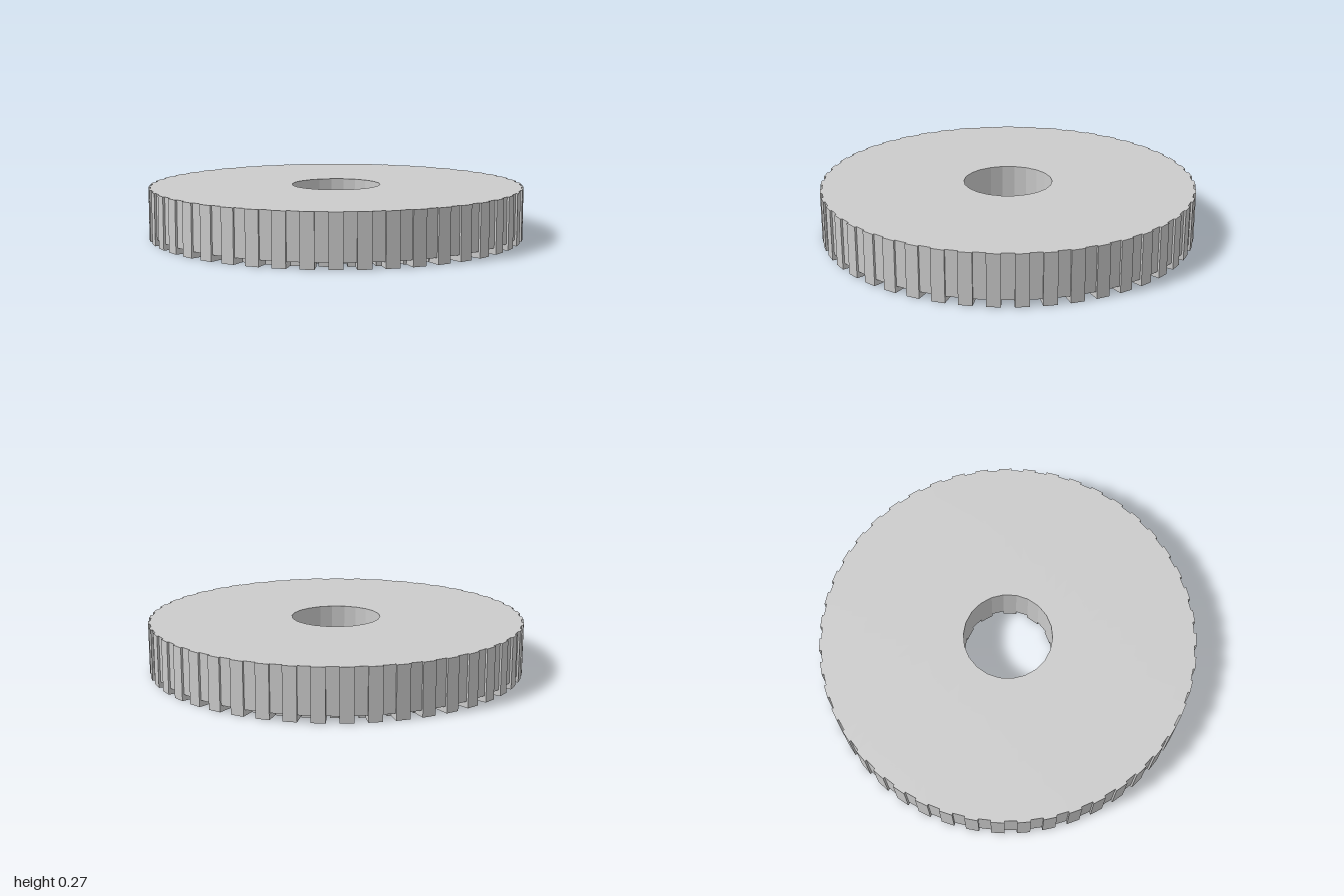
import * as THREE from 'three';
import { mergeGeometries } from 'three/addons/utils/BufferGeometryUtils.js';

const TOP = 0.27;         // height of the flat upper face
const RINGS = 10;
const HOLE = 0.237;       // radius of the central hole
const FIRST = 0.29;       // outer radius of the innermost ring
const PITCH = 0.0777;     // radial spacing of the other rings

// Flat-sided wedge block between two radii and two angles (angle runs from +x towards +z)
function wedge(inner, outer, a0, a1, bottom) {
  const point = (r, a) => new THREE.Vector2(r * Math.cos(a), -r * Math.sin(a));
  const shape = new THREE.Shape([
    point(inner, a0), point(outer, a0), point(outer, a1), point(inner, a1),
  ]);
  const geo = new THREE.ExtrudeGeometry(shape, { depth: TOP - bottom, bevelEnabled: false });
  return geo.rotateX(-Math.PI / 2).translate(0, bottom, 0);
}

export function createModel() {
  const model = new THREE.Group();
  model.name = 'blockDisc';
  const material = new THREE.MeshStandardMaterial({ color: 0xcccccc, flatShading: true });

  for (let k = 0; k < RINGS; k++) {
    const ring = new THREE.Group();
    ring.name = `ring${k + 1}`;
    const outer = FIRST + PITCH * k;
    const inner = k === 0 ? HOLE : outer - PITCH - 0.006;
    const count = 22 + 8 * k;
    const step = (Math.PI * 2) / count;
    const tall = [];
    const short = [];

    // Long blocks stand on the ground and jut out a little; short ones sit between them
    for (let i = 0; i < count; i++) {
      const a = i * step;
      if (i % 2) tall.push(wedge(inner, outer + 0.0107, a - 0.0015 / outer, a + step + 0.0015 / outer, 0));
      else short.push(wedge(inner, outer, a, a + step, 0.032));
    }
    for (const [name, parts] of [['longBlocks', tall], ['shortBlocks', short]]) {
      const mesh = new THREE.Mesh(mergeGeometries(parts), material);
      mesh.name = name;
      ring.add(mesh);
    }
    model.add(ring);
  }
  return model;
}
